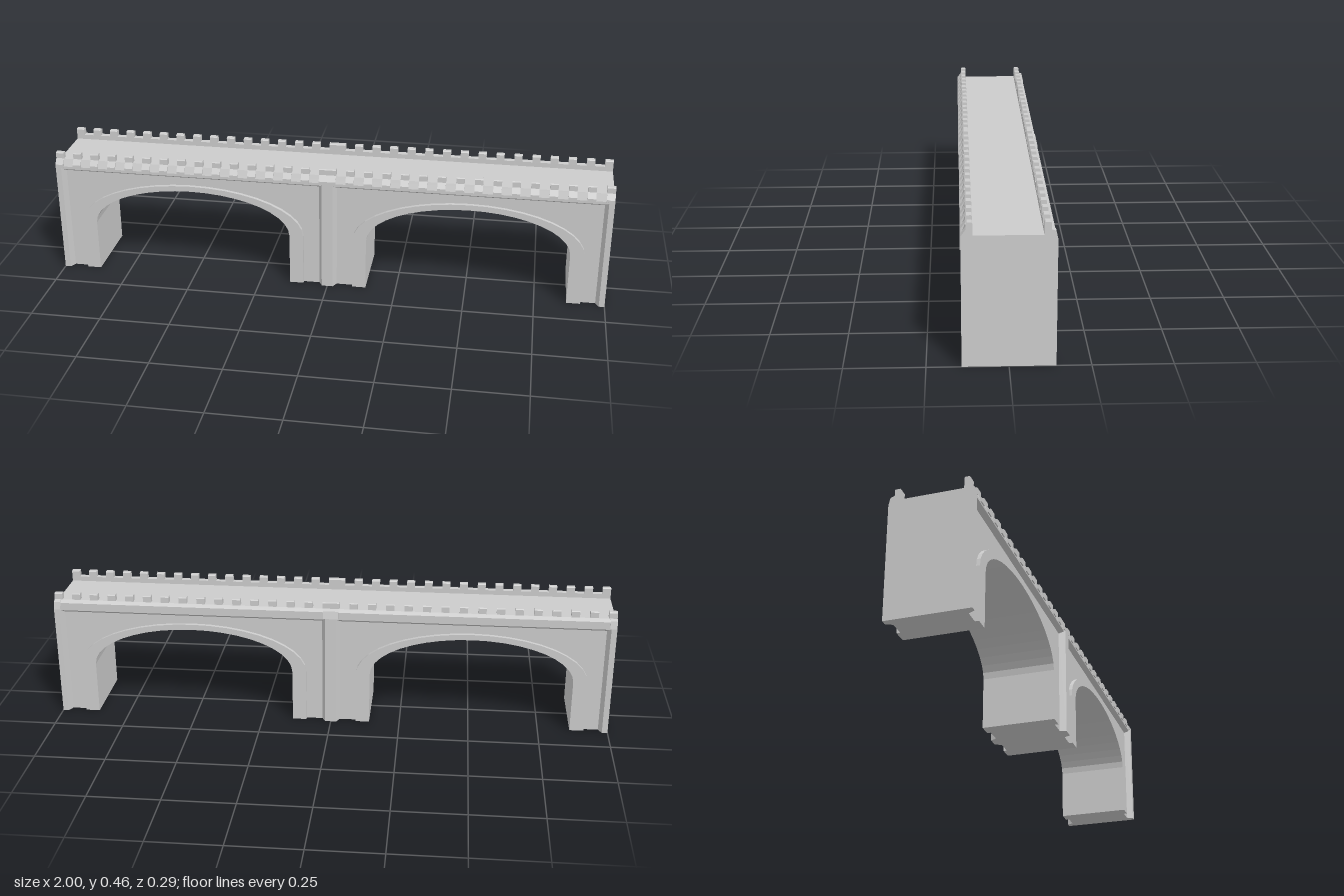
import * as THREE from 'three';

const material = new THREE.MeshStandardMaterial({ color: 0xcccccc, flatShading: true });
const ARCH_X = 0.5025, SPRING = 0.19, WALL_Z = 0.12;

function add(parent, name, geometry) {
  const mesh = new THREE.Mesh(geometry, material);
  mesh.name = name;
  parent.add(mesh);
  return mesh;
}

// [z, y] profile swept along x from x0 to x1
function bar(profile, x0, x1) {
  const shape = new THREE.Shape(profile.map(([z, y]) => new THREE.Vector2(-z, y)));
  return new THREE.ExtrudeGeometry(shape, { depth: x1 - x0, bevelEnabled: false })
    .rotateY(Math.PI / 2).translate(x0, 0, 0);
}

// [x, z] plan raised from the ground
function column(plan, height) {
  const shape = new THREE.Shape(plan.map(([x, z]) => new THREE.Vector2(x, -z)));
  return new THREE.ExtrudeGeometry(shape, { depth: height, bevelEnabled: false }).rotateX(-Math.PI / 2);
}

// Outline of an arch opening, running from its left foot to its right foot
function archPoints(cx, halfWidth, crown, segments = 20) {
  const points = [new THREE.Vector2(cx - halfWidth, 0)];
  for (let i = 0; i <= segments; i++) {
    const a = Math.PI * (1 - i / segments);
    points.push(new THREE.Vector2(cx + halfWidth * Math.cos(a), SPRING + (crown - SPRING) * Math.sin(a)));
  }
  points.push(new THREE.Vector2(cx + halfWidth, 0));
  return points;
}

export function createModel() {
  const bridge = new THREE.Group();
  bridge.name = 'bridge';

  // Main body with two arched openings and the deck on top
  const outline = new THREE.Shape([
    new THREE.Vector2(-1, 0),
    ...archPoints(-ARCH_X, 0.3625, 0.34),
    ...archPoints(ARCH_X, 0.3625, 0.34),
    new THREE.Vector2(1, 0), new THREE.Vector2(1, 0.42), new THREE.Vector2(-1, 0.42),
  ]);
  add(bridge, 'archedBody', new THREE.ExtrudeGeometry(outline, { depth: 2 * WALL_Z, bevelEnabled: false })
    .translate(0, 0, -WALL_Z));

  // Raised surrounds of the arches, on both faces
  for (const cx of [-ARCH_X, ARCH_X]) {
    const ring = new THREE.Shape([
      ...archPoints(cx, 0.4125, 0.36),
      ...archPoints(cx, 0.3625, 0.34).reverse(),
    ]);
    for (const z of [WALL_Z, -WALL_Z - 0.013]) {
      add(bridge, 'archSurround', new THREE.ExtrudeGeometry(ring, { depth: 0.013, bevelEnabled: false })
        .translate(0, 0, z));
    }
  }

  // Pilasters with bevelled edges, and their caps
  const cap = [
    [-0.143, 0.405], [-0.137, 0.432], [-0.123, 0.437], [-0.102, 0.437], [-0.102, 0.42],
    [0.108, 0.42], [0.108, 0.437], [0.128, 0.437], [0.143, 0.418], [0.143, 0.405],
  ];
  add(bridge, 'centrePilaster', column([
    [-0.02, 0.143], [0.02, 0.143], [0.032, WALL_Z], [0.032, -WALL_Z],
    [0.02, -0.143], [-0.02, -0.143], [-0.032, -WALL_Z], [-0.032, WALL_Z],
  ], 0.405));
  add(bridge, 'centreCap', bar(cap, -0.027, 0.027));
  for (const s of [-1, 1]) {
    add(bridge, 'endPilaster', column([
      [s, 0.143], [s * 0.98, 0.143], [s * 0.968, WALL_Z],
      [s * 0.968, -WALL_Z], [s * 0.98, -0.143], [s, -0.143],
    ], 0.405));
    add(bridge, 'endCap', bar(cap, s > 0 ? 0.976 : -1, s > 0 ? 1 : -0.976));
  }

  // Cornices with sloped undersides, carrying the low parapet walls
  add(bridge, 'frontCornice', bar([
    [0.108, 0.41], [WALL_Z - 0.002, 0.388], [0.138, 0.4], [0.138, 0.41], [0.128, 0.437], [0.108, 0.437],
  ], -1, 1));
  add(bridge, 'backCornice', bar([
    [-0.102, 0.41], [-WALL_Z + 0.002, 0.388], [-0.136, 0.4], [-0.136, 0.428], [-0.123, 0.437], [-0.102, 0.437],
  ], -1, 1));

  // Battlements on both sides, with sloped dentils under the front row
  const merlon = (a, b) => [
    [a, 0.42], [b, 0.42], [b, 0.457], [b - 0.003, 0.46], [a + 0.003, 0.46], [a, 0.457],
  ];
  const dentil = [[0.12, 0.405], [0.142, 0.405], [0.142, 0.419], [0.128, 0.438], [0.12, 0.438]];
  const spans = [[0, 0.03]];
  for (let i = 0; i < 15; i++) {
    const x = 0.08 + i * 0.9055 / 14;
    spans.push([x, 0.0145], [-x, 0.0145]);
  }
  for (const [x, half] of spans) {
    add(bridge, 'frontMerlon', bar(merlon(0.108, 0.128), x - half, x + half));
    add(bridge, 'backMerlon', bar(merlon(-0.123, -0.102), x - half, x + half));
    add(bridge, 'frontDentil', bar(dentil, x - half, x + half));
  }
  return bridge;
}
